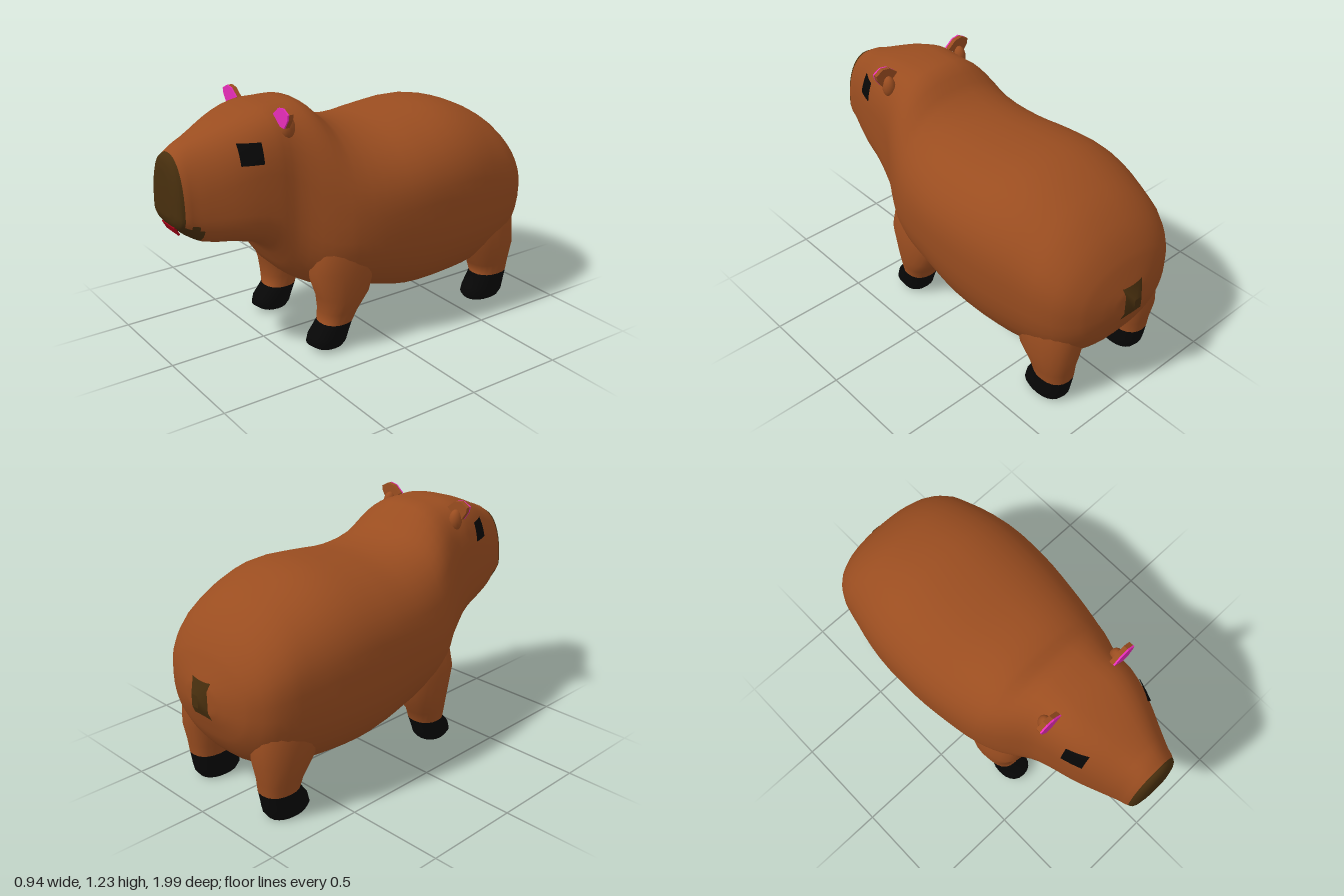
import * as THREE from 'three';

const mat = (name, color) => {
  const m = new THREE.MeshStandardMaterial({ color });
  m.name = name;
  return m;
};

// Torso and head profile, tail to nose: z, bottom, widest height, top, half width
const PROFILE = [
  [-0.97, 0.52, 0.58, 0.64, 0.09], [-0.95, 0.46, 0.58, 0.70, 0.18], [-0.91, 0.36, 0.60, 0.80, 0.285],
  [-0.82, 0.245, 0.63, 0.92, 0.375], [-0.68, 0.18, 0.66, 1.02, 0.42], [-0.45, 0.15, 0.69, 1.09, 0.465],
  [-0.20, 0.15, 0.70, 1.075, 0.47], [0, 0.20, 0.69, 1.06, 0.45], [0.20, 0.26, 0.67, 1.11, 0.41],
  [0.32, 0.295, 0.68, 1.21, 0.36], [0.45, 0.39, 0.77, 1.22, 0.29], [0.55, 0.54, 0.83, 1.215, 0.274],
  [0.70, 0.60, 0.84, 1.175, 0.237], [0.85, 0.625, 0.82, 1.11, 0.178], [0.91, 0.66, 0.80, 1.085, 0.155],
  [0.955, 0.70, 0.79, 1.055, 0.142], [0.982, 0.735, 0.79, 1.03, 0.115], [0.992, 0.77, 0.82, 0.98, 0.07],
];
const stations = PROFILE.map((p) => p[0]);
const spline = new THREE.CubicInterpolant(stations, PROFILE.flatMap((p) => p.slice(1)), 4);
const bump = (z, centre, spread) => Math.exp(-(((z - centre) / spread) ** 2));

// Smooth section at z, with a squarer crown and jaw than the rest
const sectionAt = (z) => {
  const [bottom, mid, top, w] = spline.evaluate(z);
  return { bottom, mid, top, w, nTop: 2.25 + 0.9 * bump(z, 0.55, 0.2), nBottom: 2.4 + 0.7 * bump(z, 0.65, 0.35) };
};

const power = (v, n) => Math.sign(v) * Math.abs(v) ** (2 / n);

const ring = (count, point) =>
  Array.from({ length: count }, (_, j) => point((j / count) * Math.PI * 2));

function bodyRing(z) {
  const { bottom, mid, top, w, nTop, nBottom } = sectionAt(z);
  return ring(40, (a) => {
    const up = Math.sin(a) > 0;
    const n = up ? nTop : nBottom;
    return [w * power(Math.cos(a), n), mid + power(Math.sin(a), n) * (up ? top - mid : mid - bottom), z];
  });
}

// Half width of the upper body surface at a given z and height
function widthAt(z, y) {
  const { mid, top, w, nTop } = sectionAt(z);
  return w * (1 - ((y - mid) / (top - mid)) ** nTop) ** (1 / nTop);
}

// Skin a row of rings; pick(x, y, z) gives the material index of each face
function loft(rings, pick) {
  const count = rings[0].length;
  const points = rings.flat();
  const faces = [[], []];
  const middle = (list) => [0, 1, 2].map((k) => list.reduce((sum, p) => sum + p[k], 0) / list.length);
  const add = (...ids) => {
    const list = faces[pick(...middle(ids.map((id) => points[id])))];
    for (let k = 1; k < ids.length - 1; k++) list.push(ids[0], ids[k], ids[k + 1]);
  };
  for (let i = 0; i < rings.length - 1; i++)
    for (let j = 0; j < count; j++) {
      const a = i * count + j, b = i * count + ((j + 1) % count);
      add(a, b, b + count, a + count);
    }
  for (const end of [0, rings.length - 1]) {
    const c = points.push(middle(rings[end])) - 1;
    for (let j = 0; j < count; j++) {
      const a = end * count + j, b = end * count + ((j + 1) % count);
      if (end) add(c, a, b);
      else add(c, b, a);
    }
  }
  const g = new THREE.BufferGeometry();
  g.setAttribute('position', new THREE.Float32BufferAttribute(points.flat(), 3));
  g.setIndex(faces.flat());
  g.addGroup(0, faces[0].length, 0);
  g.addGroup(faces[0].length, faces[1].length, 1);
  g.computeVertexNormals();
  return g;
}

// Leg sections from the sole up: y, centre x, half width, back z, front z
const FRONT_LEG = [
  [0.018, 0.26, 0.07, 0.22, 0.37], [0.04, 0.26, 0.082, 0.20, 0.40], [0.08, 0.26, 0.081, 0.185, 0.39],
  [0.14, 0.26, 0.085, 0.165, 0.335], [0.20, 0.268, 0.092, 0.14, 0.335], [0.28, 0.27, 0.108, 0.08, 0.345],
  [0.42, 0.26, 0.125, 0.03, 0.39], [0.64, 0.24, 0.11, 0.06, 0.36],
];
const REAR_LEG = [
  [0.003, 0.26, 0.07, -0.81, -0.61], [0.03, 0.26, 0.082, -0.83, -0.59], [0.07, 0.26, 0.081, -0.84, -0.60],
  [0.14, 0.26, 0.085, -0.85, -0.65], [0.20, 0.262, 0.095, -0.855, -0.63], [0.30, 0.26, 0.118, -0.875, -0.56],
  [0.45, 0.245, 0.13, -0.875, -0.50], [0.68, 0.21, 0.11, -0.82, -0.52],
];
const legRing = (side) => ([y, cx, hx, z0, z1]) =>
  ring(20, (a) => [
    side * cx + hx * power(Math.cos(a), 2.3), y,
    (z0 + z1) / 2 - ((z1 - z0) / 2) * power(Math.sin(a), 2.3),
  ]);

// Thin eye patch that follows the side of the head
function eyeGeometry(side) {
  const g = new THREE.PlaneGeometry(0.1, 0.095, 6, 6);
  const p = g.attributes.position;
  for (let i = 0; i < p.count; i++) {
    const z = 0.665 - side * p.getX(i), y = 1.05 + p.getY(i);
    p.setXYZ(i, side * (widthAt(z, y) + 0.007), y, z);
  }
  g.computeVertexNormals();
  return g;
}

// Fan-shaped ear outline
const earGeometry = (side, depth) => {
  const outline = [[0.165, 1.195], [0.21, 1.231], [0.25, 1.237], [0.29, 1.215], [0.285, 1.188], [0.256, 1.146], [0.222, 1.148]];
  const shape = new THREE.Shape(outline.map(([x, y]) => new THREE.Vector2(side * x, y)));
  return new THREE.ExtrudeGeometry(shape, { depth, bevelEnabled: false });
};

export function createModel() {
  const fur = mat('brown fur', 0x9a4d20);
  const muzzle = mat('dark olive muzzle', 0x482f0e);
  const black = mat('black', 0x070707);
  const pink = mat('pink inner ear', 0xf230c2);
  const red = mat('red mouth', 0xa80016);

  const model = new THREE.Group();
  model.name = 'capybara';
  const add = (name, geometry, material, parent = model) => {
    const m = new THREE.Mesh(geometry, material);
    m.name = name;
    parent.add(m);
    return m;
  };

  // Body and head in one skin, with the snout front and chin in the muzzle colour
  const steps = stations.flatMap((z, i) =>
    i ? [1, 2, 3].map((k) => stations[i - 1] + ((z - stations[i - 1]) * k) / 3) : [z]);
  const isMuzzle = (x, y, z) => (z > 0.955 || (z > 0.86 && y < 0.735 && Math.abs(x) < 0.15) ? 1 : 0);
  add('bodyAndHead', loft(steps.map(bodyRing), isMuzzle), [fur, muzzle]);

  // Mouth plate on the sloping lip
  const mouth = add('mouth', new THREE.BoxGeometry(0.12, 0.046, 0.009), red);
  mouth.position.set(0, 0.7, 0.962);
  mouth.rotation.x = 0.5;

  // Tail stub
  const stub = new THREE.CylinderGeometry(0.03, 0.1, 0.05, 4).rotateY(Math.PI / 4).rotateX(-Math.PI / 2);
  const tail = add('tail', stub, muzzle);
  tail.scale.y = 1.45;
  tail.position.set(0, 0.58, -0.975);

  for (const side of [1, -1]) {
    const label = side > 0 ? 'left' : 'right';

    // Legs with black feet
    const isFoot = (x, y) => (y < 0.14 ? 1 : 0);
    add(label + 'FrontLeg', loft(FRONT_LEG.map(legRing(side)), isFoot), [fur, black]);
    add(label + 'RearLeg', loft(REAR_LEG.map(legRing(side)), isFoot), [fur, black]);

    add(label + 'Eye', eyeGeometry(side), black);

    // Ear: furry back, pink front, and a root on the head
    const ear = new THREE.Group();
    ear.name = label + 'Ear';
    model.add(ear);
    add('earBack', earGeometry(side, 0.022), fur, ear).position.z = 0.482;
    add('earInner', earGeometry(side, 0.008), pink, ear).position.z = 0.504;
    const root = add('earRoot', new THREE.SphereGeometry(1, 14, 10), fur, ear);
    root.scale.set(0.032, 0.055, 0.036);
    root.position.set(side * 0.226, 1.14, 0.475);
  }
  return model;
}
